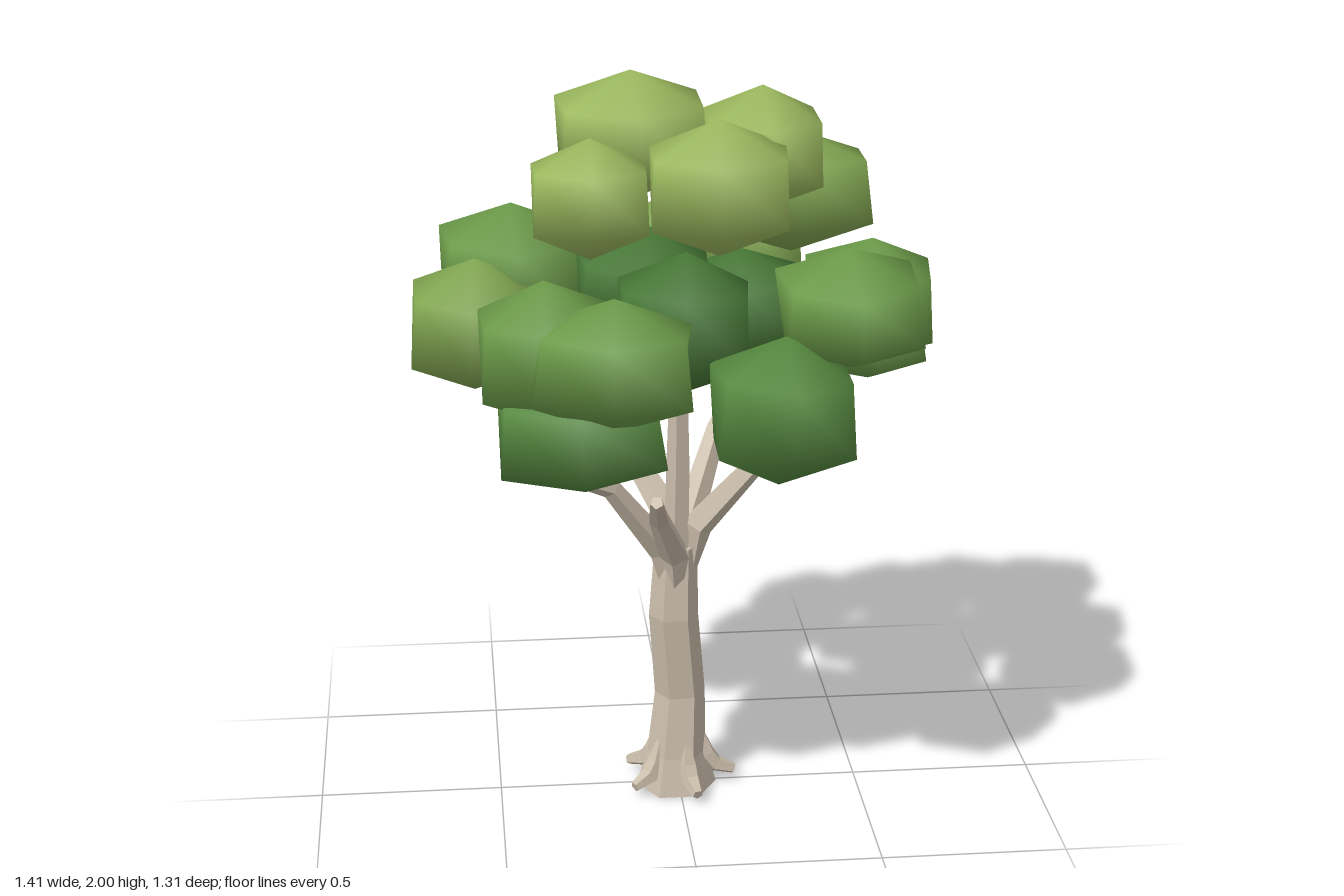
import * as THREE from 'three';

const V = (p) => new THREE.Vector3(...p);

// Tapered faceted limb swept along points; ref is a direction roughly across the path
function limb(points, radii, sides, ref) {
  const pts = points.map(V), pos = [], idx = [];
  pts.forEach((p, i) => {
    const t = pts[Math.min(i + 1, pts.length - 1)].clone().sub(pts[Math.max(i - 1, 0)]).normalize();
    const v = ref.clone().addScaledVector(t, -ref.dot(t)).normalize();
    const u = v.clone().cross(t);
    for (let k = 0; k < sides; k++) {
      const a = (k / sides) * Math.PI * 2;
      const q = p.clone().addScaledVector(u, radii[i] * Math.cos(a)).addScaledVector(v, radii[i] * Math.sin(a));
      pos.push(q.x, q.y, q.z);
    }
  });
  for (let i = 0; i < pts.length - 1; i++) {
    for (let k = 0; k < sides; k++) {
      const a = i * sides + k, b = i * sides + ((k + 1) % sides);
      idx.push(a, b, a + sides, b, b + sides, a + sides);
    }
  }
  // end caps
  const last = (pts.length - 1) * sides;
  for (let k = 1; k < sides - 1; k++) {
    idx.push(0, k + 1, k, last, last + k, last + k + 1);
  }
  const g = new THREE.BufferGeometry();
  g.setAttribute('position', new THREE.Float32BufferAttribute(pos, 3));
  g.setIndex(idx);
  const flat = g.toNonIndexed();
  flat.computeVertexNormals();
  return flat;
}

// Six-sided leaf clump filling a unit half-size box, pointed towards z.
// inset pulls in every other corner, staggered between the upper and lower ring.
function clumpGeometry(inset) {
  const g = new THREE.SphereGeometry(1, 6, 3);
  g.rotateY(Math.PI / 6);
  const p = g.attributes.position;
  for (let i = 0; i < p.count; i++) {
    const x = p.getX(i), y = p.getY(i), z = p.getZ(i);
    const outer = Math.sin(3 * Math.atan2(z, x)) * y < 0;
    const f = outer ? 1 : inset;
    p.setXYZ(i, x * f, y, z * f);
  }
  g.scale(1 / 0.75, 1, 1 / 0.866);
  return g;
}

export function createModel() {
  const tree = new THREE.Group();
  tree.name = 'tree';
  const bark = new THREE.MeshStandardMaterial({ color: 0xcabdab, flatShading: true });
  const add = (parent, name, geo, mat) => {
    const m = new THREE.Mesh(geo, mat);
    m.name = name;
    parent.add(m);
    return m;
  };

  // Trunk, slightly bent, with the central leader above it
  add(tree, 'trunk', limb(
    [[-0.006, 0, 0.008], [-0.006, 0.1, 0.008], [0.005, 0.28, -0.004], [-0.014, 0.52, 0.01], [-0.006, 0.72, 0]],
    [0.112, 0.082, 0.07, 0.068, 0.059], 6, new THREE.Vector3(0, 0, 1)), bark);
  add(tree, 'centralBranch', limb(
    [[-0.005, 0.66, 0.005], [0.0, 0.95, 0.015], [0, 1.2, 0.03], [0.01, 1.3, 0.02]],
    [0.036, 0.034, 0.026, 0.018], 5, new THREE.Vector3(0, 0, 1)), bark);

  // Side branches: height of the root on the trunk, elbow and tip
  const branches = new THREE.Group();
  branches.name = 'branches';
  tree.add(branches);
  const limbs = [
    [0.58, [-0.19, 0.93, 0.10], [-0.31, 0.995, 0.18]],
    [0.57, [-0.065, 0.86, 0.17], [-0.085, 0.965, 0.31]],
    [0.64, [0.21, 0.965, 0.035], [0.34, 1.065, 0.065]],
    [0.64, [0.12, 1.0, -0.15], [0.22, 1.14, -0.27]],
    [0.66, [-0.13, 0.95, -0.2], [-0.2, 1.1, -0.32]],
  ];
  for (const [base, elbow, tip] of limbs) {
    const out = new THREE.Vector3(tip[0], 0, tip[2]).normalize();
    const ref = new THREE.Vector3(0, 1, 0).cross(out);
    const root = [out.x * 0.035, base, out.z * 0.035];
    const mid = [out.x * 0.052, base + 0.14, out.z * 0.052];
    add(branches, 'branch', limb([root, mid, elbow, tip], [0.012, 0.042, 0.029, 0.018], 5, ref), bark);
  }

  // Root flares around the foot
  const roots = new THREE.Group();
  roots.name = 'roots';
  tree.add(roots);
  for (const deg of [0, 75, 145, 212, 285]) {
    const a = THREE.MathUtils.degToRad(deg), c = Math.cos(a), s = Math.sin(a);
    const path = [[0.06, 0.165], [0.078, 0.085], [0.105, 0.048], [0.158, 0.03]].map(([r, y]) => [c * r, y, s * r]);
    add(roots, 'root', limb(path, [0.007, 0.027, 0.026, 0.015], 5, new THREE.Vector3(s, 0, -c)), bark);
  }

  // Leaf clumps per layer: colour, corner inset, then centre x, y, z and half sizes x, y, z
  const layers = {
    topLeaves: [0x9cba5f, 0.95, [
      [-0.11, 1.825, -0.185, 0.192, 0.175, 0.198],
      [-0.24, 1.735, 0.145, 0.147, 0.157, 0.178],
      [0.095, 1.75, 0.12, 0.177, 0.182, 0.168],
      [0.23, 1.8, -0.1, 0.152, 0.17, 0.192],
    ]],
    upperLeaves: [0x83a852, 0.92, [
      [0.34, 1.63, -0.315, 0.21, 0.172, 0.197],
      [-0.54, 1.38, 0.045, 0.162, 0.182, 0.182],
      [0, 1.41, -0.45, 0.157, 0.172, 0.192],
      [0.22, 1.43, -0.465, 0.162, 0.182, 0.197],
    ]],
    middleLeaves: [0x6c9b49, 0.9, [
      [0.415, 1.465, 0.27, 0.177, 0.162, 0.215],
      [-0.205, 1.39, 0.46, 0.197, 0.172, 0.197],
      [-0.365, 1.39, 0.335, 0.167, 0.19, 0.187],
      [-0.44, 1.48, -0.13, 0.182, 0.182, 0.202],
      [-0.245, 1.37, -0.41, 0.157, 0.167, 0.21],
      [0.525, 1.38, -0.09, 0.168, 0.172, 0.207],
      [0.52, 1.295, -0.075, 0.143, 0.135, 0.195],
    ]],
    lowerLeaves: [0x578a40, 0.9, [
      [0.225, 1.245, 0.42, 0.175, 0.195, 0.21],
      [-0.28, 1.2, 0.37, 0.21, 0.18, 0.195],
    ]],
    innerLeaves: [0x477836, 0.92, [
      [-0.005, 1.41, 0.185, 0.17, 0.19, 0.18],
      [0.17, 1.37, -0.07, 0.18, 0.17, 0.18],
      [-0.09, 1.435, -0.045, 0.175, 0.18, 0.175],
    ]],
  };
  let n = 0;
  for (const [name, [color, inset, list]] of Object.entries(layers)) {
    const group = new THREE.Group();
    group.name = name;
    tree.add(group);
    const leaf = new THREE.MeshStandardMaterial({ color });
    const clump = clumpGeometry(inset);
    for (const [x, y, z, sx, sy, sz] of list) {
      const m = add(group, 'leafClump', clump, leaf);
      m.position.set(x, y, z);
      m.scale.set(sx, sy, sz);
      // slight uneven tilt
      n++;
      m.rotation.set(0.06 * Math.sin(n * 2.3), 0.06 * Math.sin(n * 1.7), 0.07 * Math.sin(n * 3.1));
    }
  }
  return tree;
}
